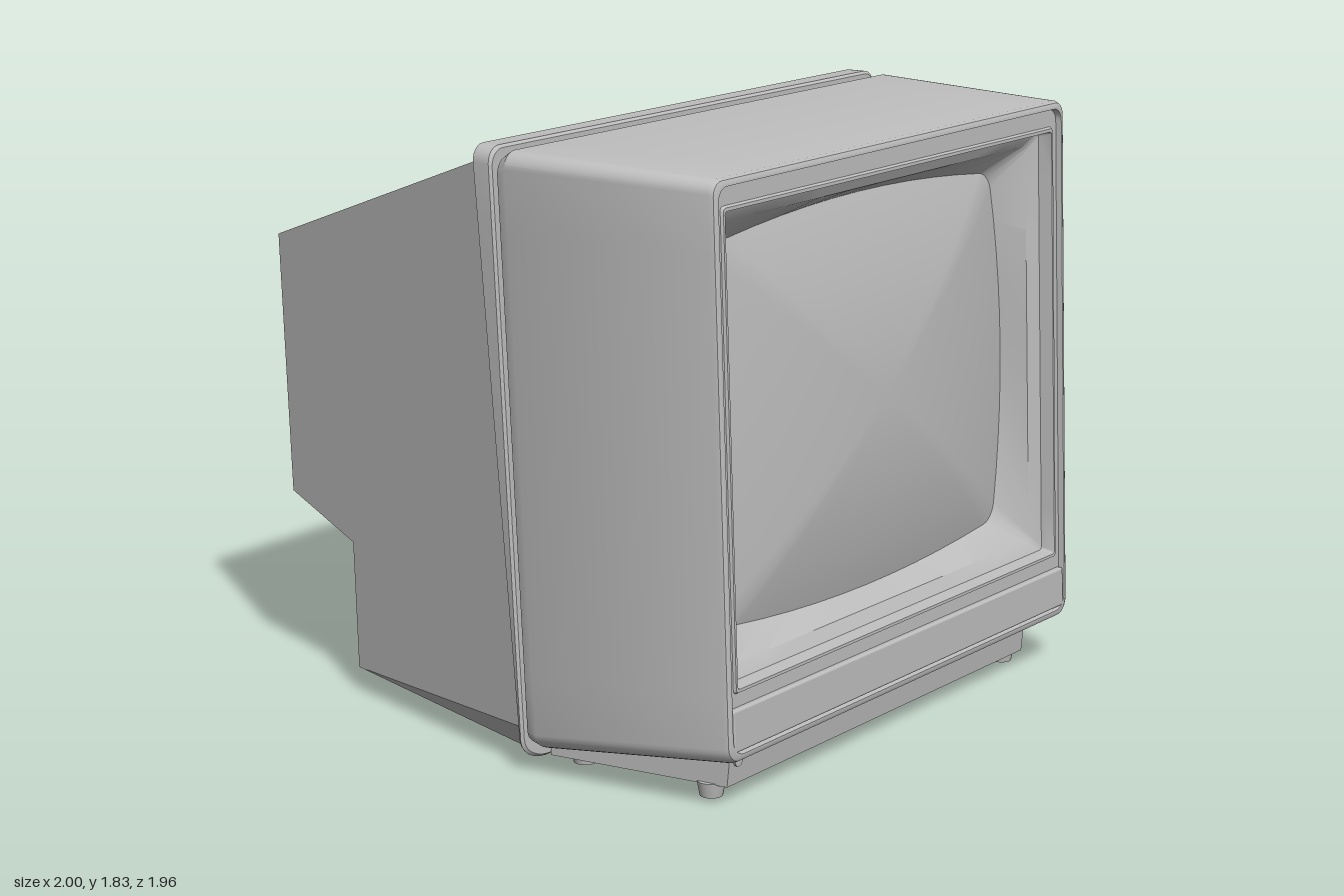
import * as THREE from 'three';
import { toCreasedNormals } from 'three/addons/utils/BufferGeometryUtils.js';
import { RoundedBoxGeometry } from 'three/addons/geometries/RoundedBoxGeometry.js';

const CORNER = 6, SIDE = 10;

// Rounded rectangle standing on the leaning plane x = x0 + k * y, optionally bulging like a barrel
function ring({ x0, k, w, y0, y1, r = 0.04, bz = r, by = r, bulgeZ = 0, bulgeY = 0 }) {
  const corners = [[-1, 1, r, r], [1, 1, r, r], [1, -1, bz, by], [-1, -1, bz, by]];
  const h = (y1 - y0) / 2, yc = (y0 + y1) / 2;
  const arcs = corners.map(([sz, sy, rz, ry], c) =>
    Array.from({ length: CORNER + 1 }, (_, i) => {
      const a = (c + i / CORNER) * Math.PI / 2;
      return [sz * (w - rz) - rz * Math.cos(a), sy * (h - ry) + ry * Math.sin(a)];
    }));
  const points = [];
  arcs.forEach((arc, c) => {
    points.push(...arc);
    const a = arc[CORNER], b = arcs[(c + 1) % 4][0];
    for (let i = 1; i < SIDE; i++) {
      const t = i / SIDE;
      points.push([a[0] + (b[0] - a[0]) * t, a[1] + (b[1] - a[1]) * t]);
    }
  });
  return points.map(([z, y]) => {
    const u = z / w, v = y / h;
    const yy = yc + y + bulgeY * v * (1 - u * u);
    return new THREE.Vector3(x0 + k * yy, yy, z + bulgeZ * u * (1 - v * v));
  });
}

// Skin through rings, ordered from the back outward and round to the front
function loft(rings, crease = 0.5) {
  const n = rings[0].length, index = [];
  for (let j = 0; j < rings.length - 1; j++) {
    for (let i = 0; i < n; i++) {
      const a = j * n + i, b = j * n + (i + 1) % n;
      index.push(a, b, b + n, a, b + n, a + n);
    }
  }
  const g = new THREE.BufferGeometry().setFromPoints(rings.flat());
  g.setIndex(index);
  return toCreasedNormals(g, crease);
}

// Side profile extruded across z between two limits that vary with x and y
function prism(profile, zMin, zMax) {
  const shape = new THREE.Shape(profile.map(([x, y]) => new THREE.Vector2(x, y)));
  const g = new THREE.ExtrudeGeometry(shape, { depth: 1, bevelEnabled: false });
  const p = g.attributes.position;
  for (let i = 0; i < p.count; i++) {
    const x = p.getX(i), y = p.getY(i);
    p.setZ(i, p.getZ(i) < 0.5 ? zMin(x, y) : zMax(x, y));
  }
  g.computeVertexNormals();
  return g;
}

export function createModel() {
  const model = new THREE.Group();
  model.name = 'monitor';
  const grey = new THREE.MeshStandardMaterial({ color: 0xbcbcbc });
  grey.name = 'grey plastic';
  const add = (name, geometry, x = 0, y = 0, z = 0) => {
    const m = new THREE.Mesh(geometry, grey);
    m.name = name;
    m.position.set(x, y, z);
    model.add(m);
    return m;
  };

  // Tapered rear body with a step under its back
  const half = (x) => 0.905 + 0.283 * (x - 0.12);
  const neg = (f) => (x, y) => -f(x, y);
  add('rearBody', prism([[0.12, 1.79], [-1, 1.39], [-0.95, 0.57], [-0.61, 0.48],
    [-0.575, 0.48], [-0.555, 0.082], [0.27, 0.13]], neg(half), half));

  // Underside, narrowing toward the front
  const bottomHalf = (x, y) => (y < 0.05 ? 0.86 : half(x));
  add('rearUnderside', prism([[-0.59, 0.08], [0.28, 0.022], [0.27, 0.13]], neg(bottomHalf), bottomHalf));

  // Thin cheeks that frame the recessed connector panel
  const cheek = [[-0.61, 0.48], [-0.59, 0.08], [-0.55, 0.08], [-0.57, 0.48]];
  const inner = (x) => half(x) - 0.025;
  add('leftCheek', prism(cheek, inner, half));
  add('rightCheek', prism(cheek, neg(half), neg(inner)));
  for (const z of [-0.04, 0.06]) {
    const jack = add('connector', new THREE.CylinderGeometry(0.022, 0.022, 0.05, 16), -0.565, 0.13, z);
    jack.rotation.z = Math.PI / 2;
  }

  // Raised rim between the rear body and the front housing
  const back = { x0: 0.274, k: -0.09, r: 0.05, bz: 0.12, by: 0.07 };
  const fore = { x0: 0.297, k: -0.059, r: 0.05, bz: 0.12, by: 0.07 };
  add('rim', loft([
    ring({ ...back, w: 0.87, y0: 0.09, y1: 1.74 }),
    ring({ ...back, w: 0.955, y0: 0.035, y1: 1.82 }),
    ring({ ...back, x0: 0.284, w: 0.967, y0: 0.026, y1: 1.833 }),
    ring({ ...fore, x0: 0.289, w: 0.972, y0: 0.026, y1: 1.833 }),
    ring({ ...fore, w: 0.965, y0: 0.032, y1: 1.825 }),
    ring({ ...fore, w: 0.945, y0: 0.055, y1: 1.795 }),
    ring({ ...fore, x0: 0.33, w: 0.945, y0: 0.055, y1: 1.795 }),
  ]));

  // Front housing running into the bezel and the sloped screen surround
  const rear = { x0: 0.312, k: -0.057, r: 0.05, bz: 0.12, by: 0.06 };
  const front = { x0: 1.003, k: -0.04, r: 0.04, bz: 0.05, by: 0.05 };
  const tube = { k: -0.04, w: 0.715, y0: 0.485, y1: 1.59, r: 0.05, bulgeZ: 0.06, bulgeY: 0.045 };
  const edge = ring({ ...tube, x0: 0.85 });
  add('frontHousing', loft([
    ring({ ...rear, w: 0.945, y0: 0.08, y1: 1.79 }),
    ring({ ...rear, w: 0.967, y0: 0.07, y1: 1.805 }),
    ring({ ...rear, x0: 0.35, w: 0.98, y0: 0.068, y1: 1.826 }),
    ring({ ...front, x0: 0.985, w: 0.922, y0: 0.155, y1: 1.808 }),
    ring({ ...front, x0: 0.998, w: 0.917, y0: 0.162, y1: 1.803 }),
    ring({ ...front, w: 0.908, y0: 0.172, y1: 1.794 }),
    ring({ ...front, w: 0.9, y0: 0.18, y1: 1.786 }),
    ring({ ...front, x0: 0.985, w: 0.897, y0: 0.183, y1: 1.783 }),
    ring({ ...front, x0: 0.985, w: 0.87, y0: 0.352, y1: 1.73, r: 0.012, bz: 0.012, by: 0.012 }),
    ring({ ...front, x0: 0.993, w: 0.866, y0: 0.356, y1: 1.725, r: 0.012, bz: 0.012, by: 0.012 }),
    ring({ ...front, x0: 0.993, w: 0.858, y0: 0.365, y1: 1.715, r: 0.01, bz: 0.01, by: 0.01 }),
    ring({ ...front, x0: 0.95, w: 0.85, y0: 0.372, y1: 1.708, r: 0.01, bz: 0.01, by: 0.01 }),
    ring({ ...front, x0: 0.93, w: 0.805, y0: 0.41, y1: 1.67, r: 0.02, bz: 0.02, by: 0.02 }),
    edge,
  ]));

  // Domed picture tube
  const center = new THREE.Vector3(0.85 - 0.04 * 1.0375, 1.0375, 0);
  add('screen', loft([1, 0.97, 0.9, 0.8, 0.65, 0.5, 0.35, 0.2, 0.1, 0.001].map((s) =>
    edge.map((p) => {
      const q = center.clone().lerp(p, s);
      q.x += 0.09 * (1 - s * s);
      return q;
    })), 1));

  // Control flap below the screen
  const flap = add('controlFlap', new RoundedBoxGeometry(0.03, 0.125, 1.79, 3, 0.008), 0.978, 0.25, 0);
  flap.rotation.z = 0.04;

  // Base plinth, feet and small controls
  const baseHalf = (x) => 0.86 - 0.1 * (x - 0.3);
  add('base', prism([[0.305, 0.028], [0.9, 0.042], [0.912, 0.175], [0.305, 0.13]], neg(baseHalf), baseHalf));
  for (const x of [0.37, 0.83]) {
    for (const z of [-0.79, 0.78]) {
      add('foot', new THREE.CylinderGeometry(0.042, 0.034, 0.045, 24), x, 0.0225, z);
    }
  }
  for (const z of [-0.19, -0.275, -0.36]) {
    const knob = add('knob', new THREE.CylinderGeometry(0.028, 0.028, 0.03, 20), 0.915, 0.155, z);
    knob.rotation.z = Math.PI / 2;
  }
  const button = add('powerButton', new THREE.CylinderGeometry(0.018, 0.018, 0.012, 20), 0.907, 0.115, 0.76);
  button.rotation.z = Math.PI / 2;

  return model;
}
